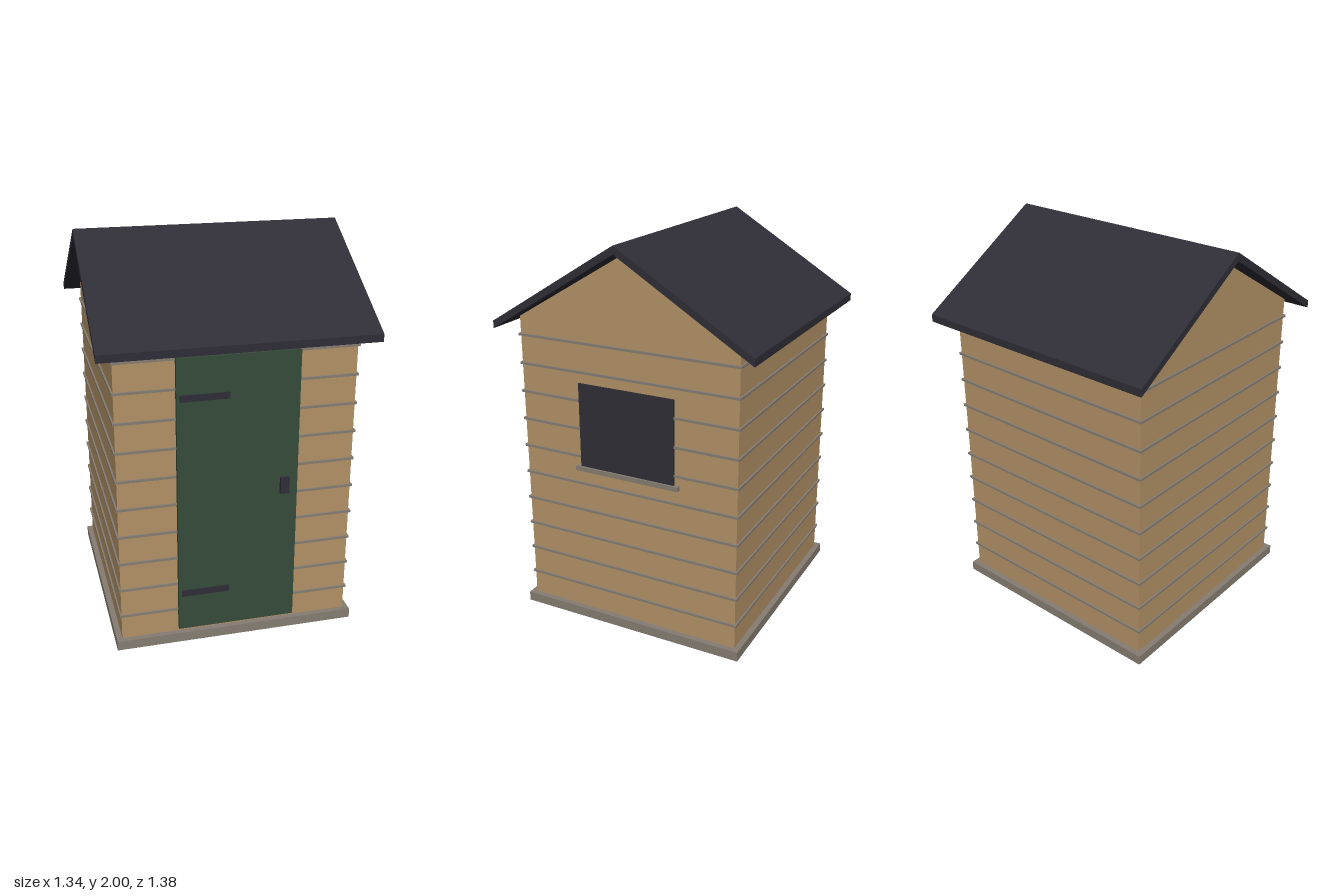
import * as THREE from 'three';

const paint = (name, color) => {
  const m = new THREE.MeshStandardMaterial({ color });
  m.name = name;
  return m;
};

export function createModel() {
  const timber = paint('timber', 0xb39266);
  const stone = paint('weathered grey', 0x857d72);
  const green = paint('door green', 0x364b3b);
  const slate = paint('dark slate', 0x2f2e37);

  const shed = new THREE.Group();
  shed.name = 'gardenShed';

  const add = (name, geometry, material) => {
    const mesh = new THREE.Mesh(geometry, material);
    mesh.name = name;
    shed.add(mesh);
    return mesh;
  };

  // Box given by its lowest and highest corners
  const box = (name, material, [x0, y0, z0], [x1, y1, z1]) => {
    add(name, new THREE.BoxGeometry(x1 - x0, y1 - y0, z1 - z0), material)
      .position.set((x0 + x1) / 2, (y0 + y1) / 2, (z0 + z1) / 2);
  };

  // Gable profile in the z-y plane, extruded along x; symmetric about the ridge
  const gable = (name, material, points, width) => {
    const shape = new THREE.Shape(points.map(([z, y]) => new THREE.Vector2(z, y)));
    const geometry = new THREE.ExtrudeGeometry(shape, { depth: width, bevelEnabled: false });
    geometry.translate(0, 0, -width / 2).rotateY(Math.PI / 2);
    add(name, geometry, material);
  };

  // Floor slab
  box('base', stone, [-0.617, 0, -0.617], [0.617, 0.05, 0.617]);

  // Walls with pointed gable ends
  gable('walls', timber,
    [[-0.588, 0.05], [0.588, 0.05], [0.588, 1.595], [0, 1.945], [-0.588, 1.595]], 1.176);

  // Pitched roof with overhanging eaves
  gable('roof', slate,
    [[-0.688, 1.54], [0, 1.96], [0.688, 1.54], [0.688, 1.578], [0, 2], [-0.688, 1.578]], 1.342);

  // Cladding joints running all the way round
  for (let i = 0; i < 10; i++) {
    const y = 0.18 + i * 0.147;
    box('claddingStrip', stone, [-0.597, y - 0.006, -0.597], [0.597, y + 0.006, 0.597]);
  }

  // Door, strap hinges and handle
  box('door', green, [-0.3, 0.072, 0.585], [0.3, 1.51, 0.612]);
  for (const y of [0.28, 1.315]) {
    box('hinge', slate, [-0.285, y - 0.016, 0.605], [-0.045, y + 0.016, 0.62]);
  }
  box('handle', slate, [0.21, 0.78, 0.605], [0.255, 0.865, 0.63]);

  // Side window and sill
  box('window', slate, [0.589, 0.86, -0.26], [0.598, 1.3, 0.26]);
  box('windowSill', stone, [0.58, 0.841, -0.285], [0.608, 0.865, 0.285]);

  return shed;
}
